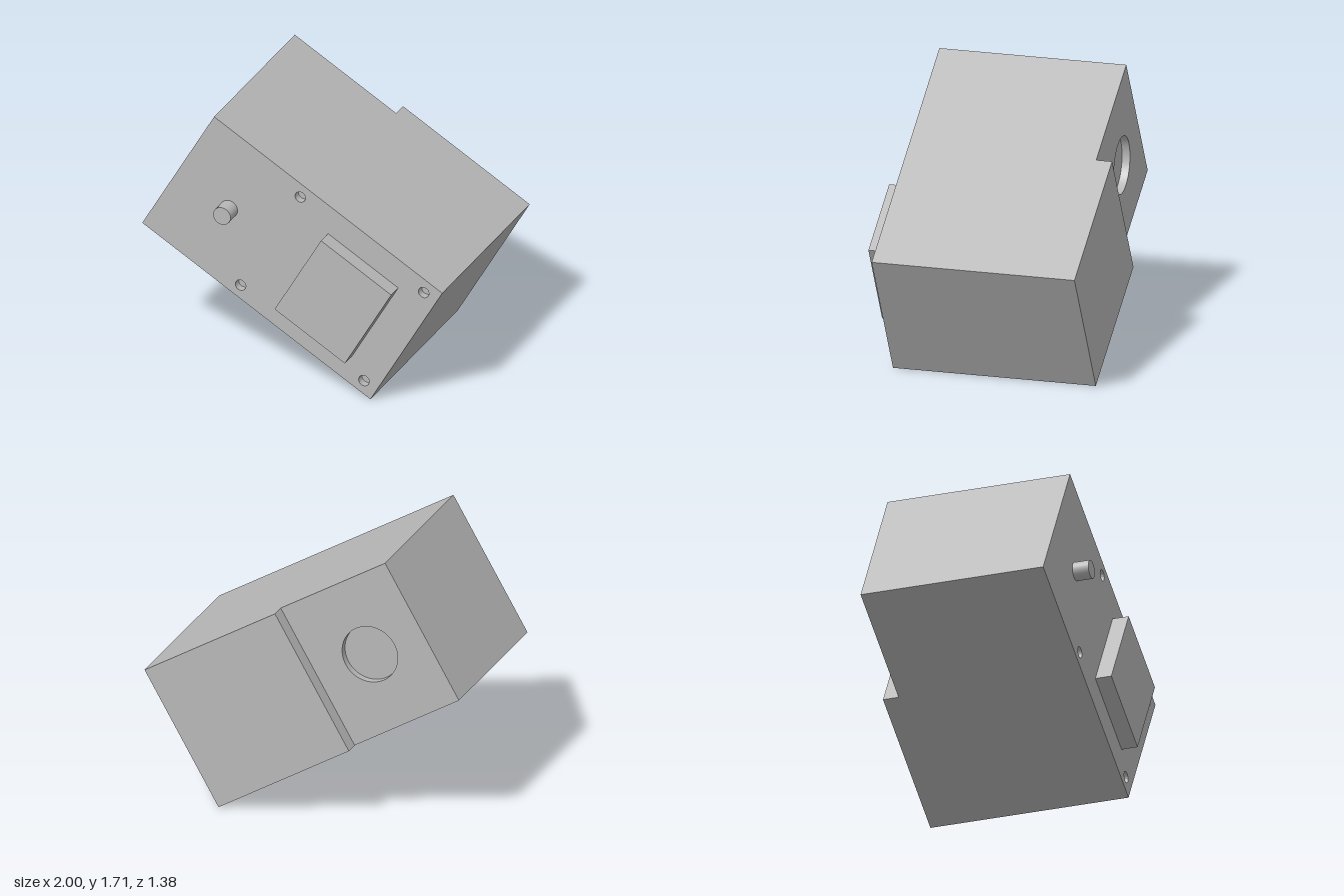
import * as THREE from 'three';
import { toCreasedNormals } from 'three/addons/utils/BufferGeometryUtils.js';

const LENGTH = 1.755, WIDTH = 0.958;
const FRONT = 0.587, BACK = -0.59, TIP = 0.69, RECESS = 0.05;
const STEP = -0.0975; // where the thicker rear section begins

export function createModel() {
  const model = new THREE.Group();
  model.name = 'tiltedHousing';
  const grey = new THREE.MeshStandardMaterial({ color: 0xb8b8b8 });
  grey.name = 'plain grey';

  // Everything is built upright, then tilted about z
  const housing = new THREE.Group();
  housing.name = 'housing';
  housing.rotation.z = -Math.PI / 6;
  housing.position.y = 0.8535;
  model.add(housing);

  const add = (name, geometry) => {
    const mesh = new THREE.Mesh(geometry, grey);
    mesh.name = name;
    housing.add(mesh);
    return mesh;
  };

  // Box given by its limits
  const block = (name, x0, x1, y0, y1, z0, z1) =>
    add(name, new THREE.BoxGeometry(x1 - x0, y1 - y0, z1 - z0))
      .position.set((x0 + x1) / 2, (y0 + y1) / 2, (z0 + z1) / 2);

  // Slab with round openings, each [x, y, radius]
  const panel = (name, x0, x1, z0, z1, holes) => {
    const h = WIDTH / 2;
    const shape = new THREE.Shape();
    shape.moveTo(x0, -h).lineTo(x1, -h).lineTo(x1, h).lineTo(x0, h).closePath();
    for (const [x, y, r] of holes) {
      shape.holes.push(new THREE.Path().absarc(x, y, r, 0, Math.PI * 2, true));
    }
    const geometry = new THREE.ExtrudeGeometry(shape, { depth: z1 - z0, bevelEnabled: false, curveSegments: 32 });
    add(name, toCreasedNormals(geometry, 0.6)).position.z = z0;
  };

  const L = LENGTH / 2, W = WIDTH / 2;

  // Main body and the raised half of the rear
  block('body', -L, L, -W, W, BACK + RECESS, FRONT - RECESS);
  block('rearSection', STEP, L, -W, W, -TIP, BACK + RECESS);

  // Front face with four screw holes
  const screws = [];
  for (const x of [-0.168, 0.781]) for (const y of [-0.398, 0.398]) screws.push([x, y, 0.035]);
  panel('frontPanel', -L, L, FRONT - RECESS, FRONT, screws);

  // Lower rear face with a shallow round recess
  panel('rearPanel', -L, STEP, BACK, BACK + RECESS, [[(STEP - L) / 2, 0, 0.18]]);

  // Raised plate and round peg on the front
  block('frontPlate', 0.367 - 0.27, 0.367 + 0.27, -0.309, 0.309, FRONT, TIP);
  const peg = add('frontPeg', new THREE.CylinderGeometry(0.058, 0.058, TIP - FRONT, 32).rotateX(Math.PI / 2));
  peg.position.set((STEP - L) / 2, 0, (FRONT + TIP) / 2);

  return model;
}
